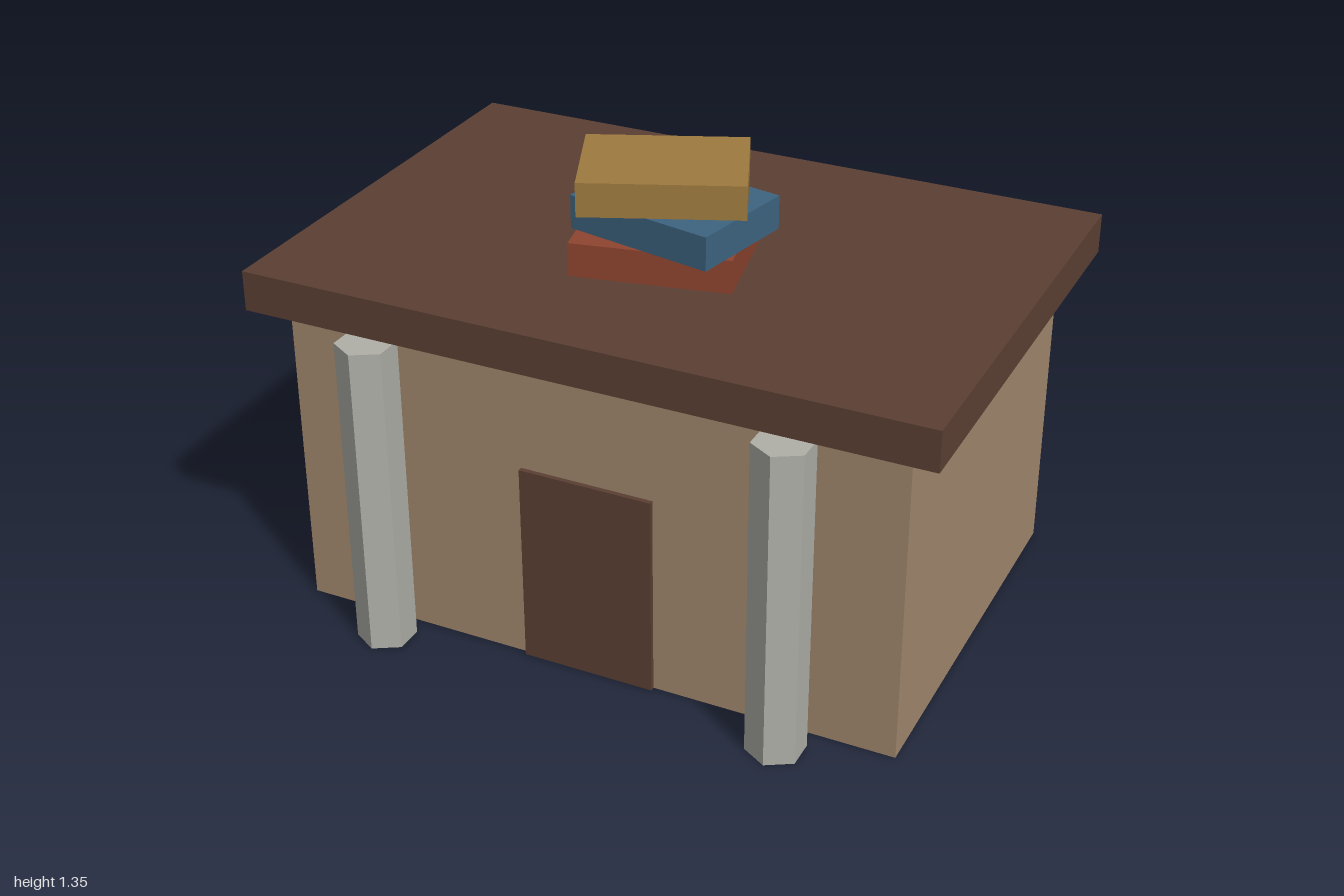
import * as THREE from 'three';

const mat = (name, color) => {
  const m = new THREE.MeshStandardMaterial({ color });
  m.name = name;
  return m;
};

export function createModel() {
  const group = new THREE.Group();
  const wall = mat('tan wall', 0xa1886e);
  const wood = mat('dark wood', 0x5c4033);
  const stone = mat('grey stone', 0xb0b0a8);
  const red = mat('red cover', 0x8e4430);
  const blue = mat('blue cover', 0x3d6380);
  const ochre = mat('ochre cover', 0x9e7a3f);

  const add = (name, geometry, material, x, y, z, turn = 0) => {
    const mesh = new THREE.Mesh(geometry, material);
    mesh.name = name;
    mesh.position.set(x, y, z);
    mesh.rotation.y = THREE.MathUtils.degToRad(turn);
    group.add(mesh);
  };

  // Building: walls, overhanging flat roof and door
  add('walls', new THREE.BoxGeometry(1.814, 0.942, 1.21), wall, 0, 0.471, -0.05);
  add('roof', new THREE.BoxGeometry(2, 0.118, 1.365), wood, 0, 1.001, -0.051);
  add('door', new THREE.BoxGeometry(0.394, 0.606, 0.04), wood, 0, 0.303, 0.549);

  // Six-sided columns, standing in front of the wall
  const column = new THREE.CylinderGeometry(0.084, 0.084, 0.942, 6).toNonIndexed();
  column.computeVertexNormals();
  for (const side of [-1, 1]) {
    add(side > 0 ? 'leftColumn' : 'rightColumn', column, stone, side * 0.604, 0.471, 0.65);
  }

  // Stack of turned books on the roof
  const book = new THREE.BoxGeometry(0.453, 0.098, 0.335);
  [
    ['bottomBook', red, 0, 11.4],
    ['middleBook', blue, 0.03, -11.4],
    ['topBook', ochre, 0, 22.6],
  ].forEach(([name, material, x, turn], i) => {
    add(name, book, material, x, 1.109 + i * 0.098, 0.068, turn);
  });

  return group;
}
